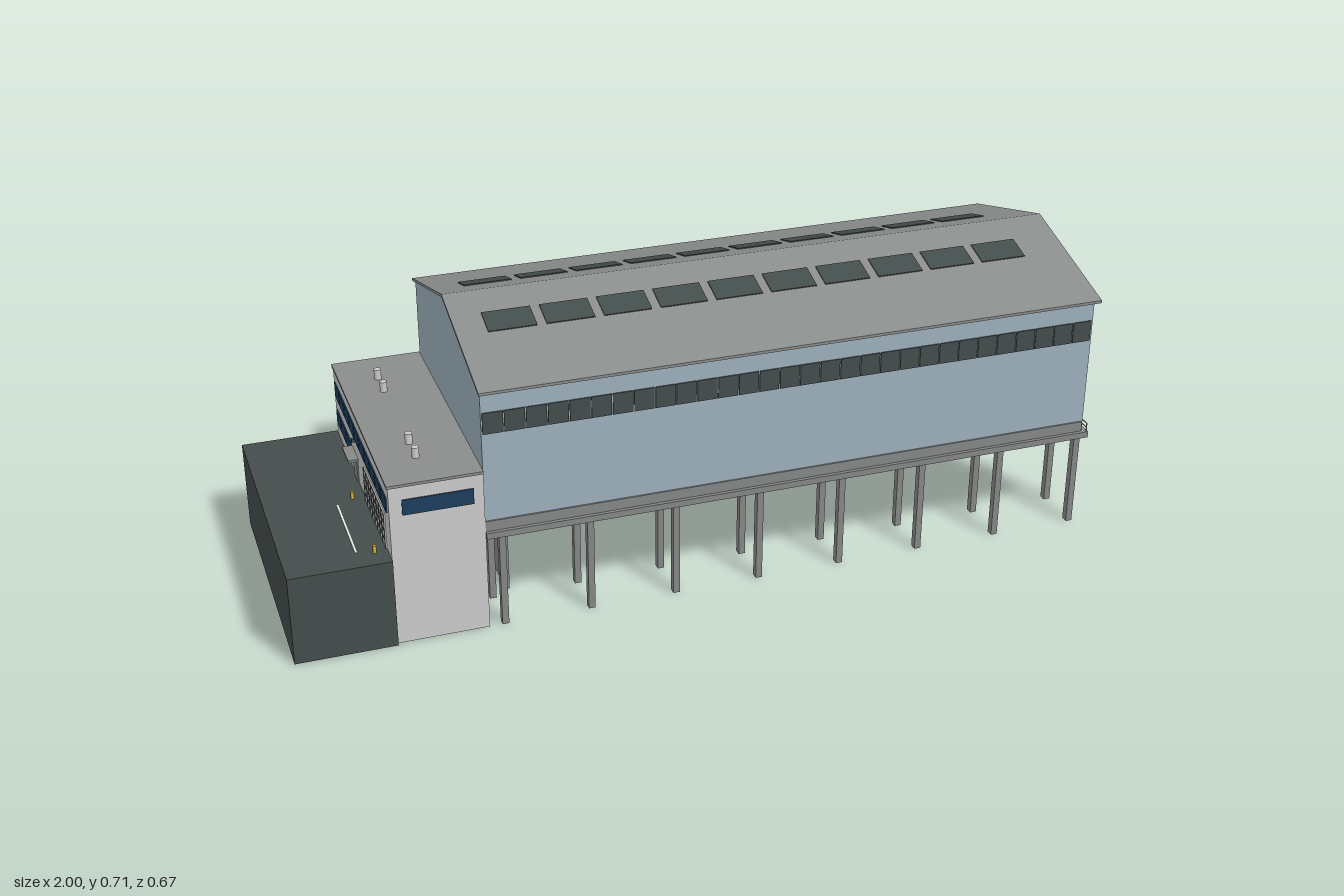
import * as THREE from 'three';

const mat = (name, color, side = THREE.FrontSide) => {
  const m = new THREE.MeshStandardMaterial({ color, side });
  m.name = name;
  return m;
};

export function createModel() {
  const model = new THREE.Group();
  model.name = 'coveredDock';
  const cladding = mat('blue grey cladding', 0x9db0bd);
  const roofGrey = mat('roof grey', 0x8a8d8c);
  const concrete = mat('concrete grey', 0x868887);
  const render = mat('light render', 0xcccccc);
  const dark = mat('dark green grey', 0x434d4b);
  const glass = mat('blue glass', 0x1c3d5c);
  const yellow = mat('safety yellow', 0xd0b030);
  const white = mat('white paint', 0xf0f0f0);

  // Box given by its limits on each axis
  const box = (name, m, x0, x1, y0, y1, z0, z1) => {
    const mesh = new THREE.Mesh(new THREE.BoxGeometry(x1 - x0, y1 - y0, Math.abs(z1 - z0)), m);
    mesh.position.set((x0 + x1) / 2, (y0 + y1) / 2, (z0 + z1) / 2);
    mesh.name = name;
    model.add(mesh);
    return mesh;
  };
  // Profile in (z, y) pushed along x
  const extrudeX = (name, m, pts, x0, x1, hole) => {
    const shape = new THREE.Shape(pts.map(p => new THREE.Vector2(...p)));
    if (hole) shape.holes.push(new THREE.Path(hole.map(p => new THREE.Vector2(...p))));
    const geo = new THREE.ExtrudeGeometry(shape, { depth: x1 - x0, bevelEnabled: false });
    const mesh = new THREE.Mesh(geo.rotateY(Math.PI / 2).translate(x0, 0, 0), m);
    mesh.name = name;
    model.add(mesh);
  };
  // Railing running along z
  const railing = (x, z0, z1, n) => {
    for (const y of [0.268, 0.279])
      box('railingBar', concrete, x - 0.001, x + 0.001, y - 0.001, y + 0.001, z0, z1);
    for (let i = 0; i <= n; i++) {
      const z = z0 + (z1 - z0) * i / n;
      box('railingPost', concrete, x - 0.001, x + 0.001, 0.256, 0.28, z - 0.001, z + 0.001);
    }
  };

  // Shore block
  box('shore', dark, -1, -0.76, 0, 0.225, -0.333, 0.333);
  box('parkingLine', white, -0.834, -0.828, 0.225, 0.227, 0.04, 0.27);
  for (const z of [0.02, 0.28])
    box('yellowBollard', yellow, -0.795, -0.787, 0.225, 0.243, z - 0.004, z + 0.004);

  // Head building
  box('headBuilding', render, -0.76, -0.541, 0, 0.408, -0.324, 0.324);
  box('headRoof', roofGrey, -0.763, -0.541, 0.408, 0.415, -0.327, 0.327);
  for (const s of [-1, 1]) {
    box('sideWindow', glass, -0.73, -0.565, 0.336, 0.375, s * 0.323, s * 0.327);
    for (const z of [0.14, 0.21]) {
      const vent = new THREE.Mesh(new THREE.CylinderGeometry(0.009, 0.009, 0.026, 12), render);
      vent.position.set(-0.67, 0.428, s * z);
      vent.name = 'roofVent';
      model.add(vent);
    }
  }
  for (let i = 0; i < 10; i++) {
    const z = -0.305 + i * 0.0615;
    box('upperWindow', glass, -0.763, -0.759, 0.336, 0.375, z, z + 0.056);
  }
  for (let i = 0; i < 3; i++) {
    const z = -0.305 + i * 0.0615;
    box('lowerWindow', glass, -0.763, -0.759, 0.262, 0.3, z, z + 0.056);
  }
  box('entranceDoor', concrete, -0.763, -0.759, 0.225, 0.283, -0.1, -0.05);
  box('entranceCanopy', concrete, -0.785, -0.76, 0.288, 0.294, -0.115, -0.04);
  box('entranceLamp', dark, -0.768, -0.76, 0.325, 0.333, -0.08, -0.07);
  // Panelled cargo door
  box('cargoDoor', render, -0.763, -0.759, 0.225, 0.315, 0.04, 0.27);
  for (let i = 0; i <= 8; i++) {
    const z = 0.04 + i * 0.02875;
    box('doorSeam', dark, -0.7645, -0.7625, 0.225, 0.315, z - 0.001, z + 0.001);
  }
  for (let i = 1; i <= 4; i++)
    box('doorSeam', dark, -0.7645, -0.7625, 0.224 + i * 0.0225, 0.226 + i * 0.0225, 0.04, 0.27);

  // Quay at the head of the basin
  box('headQuay', concrete, -0.541, -0.455, 0.24, 0.256, -0.178, 0.178);
  box('basinWall', concrete, -0.465, -0.455, 0, 0.24, -0.178, 0.178);
  railing(-0.46, -0.17, 0.17, 4);

  // Side decks on piles
  for (const s of [-1, 1]) {
    box('deck', concrete, -0.541, 1, 0.24, 0.256, s * 0.178, s * 0.333);
    box('wallPlinth', concrete, -0.541, 0.985, 0.256, 0.282, s * 0.31, s * 0.324);
    railing(0.995, s * 0.185, s * 0.331, 4);
    for (let i = 0; i < 8; i++) {
      const x = -0.503 + i * 0.2111;
      for (const z of [0.199, 0.316])
        box('pile', concrete, x - 0.008, x + 0.008, 0, 0.24, s * (z - 0.009), s * (z + 0.009));
      box('mooringBollard', dark, x - 0.005, x + 0.005, 0.256, 0.27, s * 0.19, s * 0.2);
      if (i < 7) for (const d of [0.075, 0.145])
        box('fender', dark, x + d - 0.012, x + d + 0.012, 0.215, 0.255, s * 0.17, s * 0.178);
    }
    for (let i = 0; i < 24; i++) {
      const x = -0.44 + i * 0.06;
      box('edgeMarking', yellow, x, x + 0.035, 0.256, 0.2575, s * 0.18, s * 0.186);
    }
  }

  // Hall walls with window strips
  for (const s of [-1, 1]) {
    box('sideWall', cladding, -0.54, 0.985, 0.256, 0.616, s * 0.313, s * 0.32);
    for (let i = 0; i < 30; i++) {
      const x = -0.538 + i * 0.0508;
      box('outerWindow', dark, x, x + 0.048, 0.505, 0.558, s * 0.319, s * 0.323);
      box('innerWindow', glass, x + 0.008, x + 0.046, 0.505, 0.558, s * 0.311, s * 0.3135);
    }
  }
  const gable = [[-0.32, 0.256], [0.32, 0.256], [0.32, 0.61], [0, 0.705], [-0.32, 0.61]];
  extrudeX('rearGable', cladding, gable, -0.541, -0.533);
  // Open gable: legs and top around the doorway
  extrudeX('frontGable', cladding, [[-0.32, 0.256], [-0.25, 0.256], [-0.25, 0.576], [0.25, 0.576],
    [0.25, 0.256], [0.32, 0.256], [0.32, 0.61], [0, 0.705], [-0.32, 0.61]], 0.98, 0.988);
  box('doorLintel', concrete, 0.976, 0.995, 0.557, 0.577, -0.252, 0.252);
  for (const s of [-1, 1])
    box('doorPost', concrete, 0.976, 0.993, 0.256, 0.557, s * 0.246, s * 0.252);

  // Roof with skylights
  extrudeX('roof', roofGrey, [[-0.333, 0.614], [-0.333, 0.607], [0, 0.705], [0.333, 0.607],
    [0.333, 0.614], [0, 0.712]], -0.546, 1);
  const pitch = Math.atan(0.098 / 0.333);
  for (const s of [-1, 1]) for (let i = 0; i < 10; i++) {
    const light = new THREE.Mesh(new THREE.BoxGeometry(0.116, 0.005, 0.068), dark);
    light.position.set(-0.415 + i * 0.138, 0.712 - 0.294 * 0.113, s * 0.113);
    light.rotation.x = s * pitch;
    light.name = 'skylight';
    model.add(light);
  }

  // Frames inside the hall
  for (let i = 0; i < 8; i++) {
    const x = -0.503 + i * 0.2;
    box('tieBeam', render, x - 0.006, x + 0.006, 0.54, 0.557, -0.312, 0.312);
    for (const s of [-1, 1])
      box('hallColumn', concrete, x - 0.006, x + 0.006, 0.256, 0.54, s * 0.299, s * 0.312);
  }
  // Travelling crane with hoist
  for (const s of [-1, 1]) {
    box('craneRail', concrete, -0.53, 0.975, 0.527, 0.54, s * 0.285, s * 0.297);
    box('craneGirder', render, 0.35 + s * 0.025 - 0.006, 0.35 + s * 0.025 + 0.006, 0.54, 0.557, -0.297, 0.297);
  }
  box('hoistTrolley', concrete, 0.325, 0.375, 0.557, 0.565, -0.015, 0.015);
  box('hoistCable', dark, 0.3495, 0.3505, 0.463, 0.557, -0.0005, 0.0005);
  box('hoistBlock', yellow, 0.34, 0.36, 0.442, 0.463, -0.009, 0.009);
  box('hoistHook', dark, 0.349, 0.351, 0.425, 0.442, -0.001, 0.001);
  return model;
}
